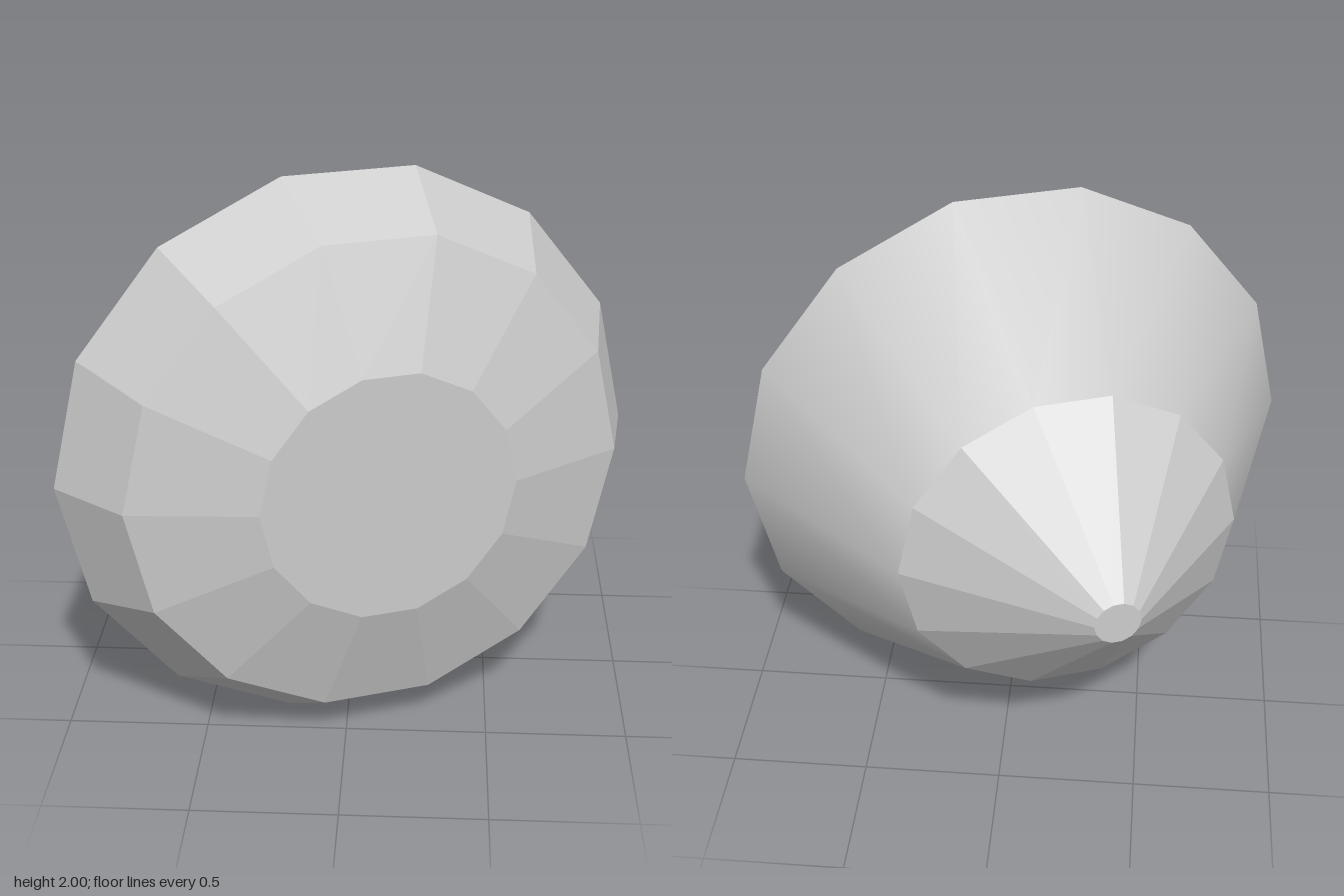
import * as THREE from 'three';

const SIDES = 14;

// Cross-sections along the gem's axis: sideways offset, depth along axis, radius
const TIP = { x: -0.033, z: -1.132, r: 0.08 };
const WAIST = { x: 0, z: -0.694, r: 0.602 };
const GIRDLE = { x: 0, z: 0, r: 1.0257 };
const SHOULDER = { x: 0.022, z: 0.261, r: 0.865 };
const TABLE = { x: 0.02, z: 0.398, r: 0.444 };

function ringPoints(ring) {
  const points = [];
  for (let i = 0; i < SIDES; i++) {
    const a = (i / SIDES) * Math.PI * 2;
    points.push(ring.x + ring.r * Math.cos(a), ring.r * Math.sin(a), ring.z);
  }
  return points;
}

function buildMesh(name, positions, indices, flat) {
  let geometry = new THREE.BufferGeometry();
  geometry.setAttribute('position', new THREE.Float32BufferAttribute(positions, 3));
  geometry.setIndex(indices);
  if (flat) geometry = geometry.toNonIndexed();
  geometry.computeVertexNormals();
  const material = new THREE.MeshStandardMaterial({ color: 0xcccccc, flatShading: flat });
  const mesh = new THREE.Mesh(geometry, material);
  mesh.name = name;
  return mesh;
}

// Band of facets between a rear ring and a front ring
function band(name, back, front, flat = true) {
  const indices = [];
  for (let i = 0; i < SIDES; i++) {
    const j = (i + 1) % SIDES;
    indices.push(i, j, SIDES + j, i, SIDES + j, SIDES + i);
  }
  return buildMesh(name, [...ringPoints(back), ...ringPoints(front)], indices, flat);
}

// Flat polygon closing one end
function cap(name, ring, facesFront) {
  const indices = [];
  for (let i = 1; i < SIDES - 1; i++) {
    indices.push(...(facesFront ? [0, i, i + 1] : [0, i + 1, i]));
  }
  return buildMesh(name, ringPoints(ring), indices, true);
}

export function createModel() {
  const gem = new THREE.Group();
  gem.name = 'gem';
  gem.add(
    cap('tipFace', TIP, false),
    band('lowerPavilion', TIP, WAIST),
    band('upperPavilion', WAIST, GIRDLE, false), // smooth cone
    band('lowerCrown', GIRDLE, SHOULDER),
    band('upperCrown', SHOULDER, TABLE),
    cap('tableFace', TABLE, true)
  );

  // Turn the gem's axis and rest its rim on the ground
  gem.rotation.y = THREE.MathUtils.degToRad(20);
  gem.position.set(0, 1, 0.27);

  const model = new THREE.Group();
  model.name = 'cutGem';
  model.add(gem);
  return model;
}
